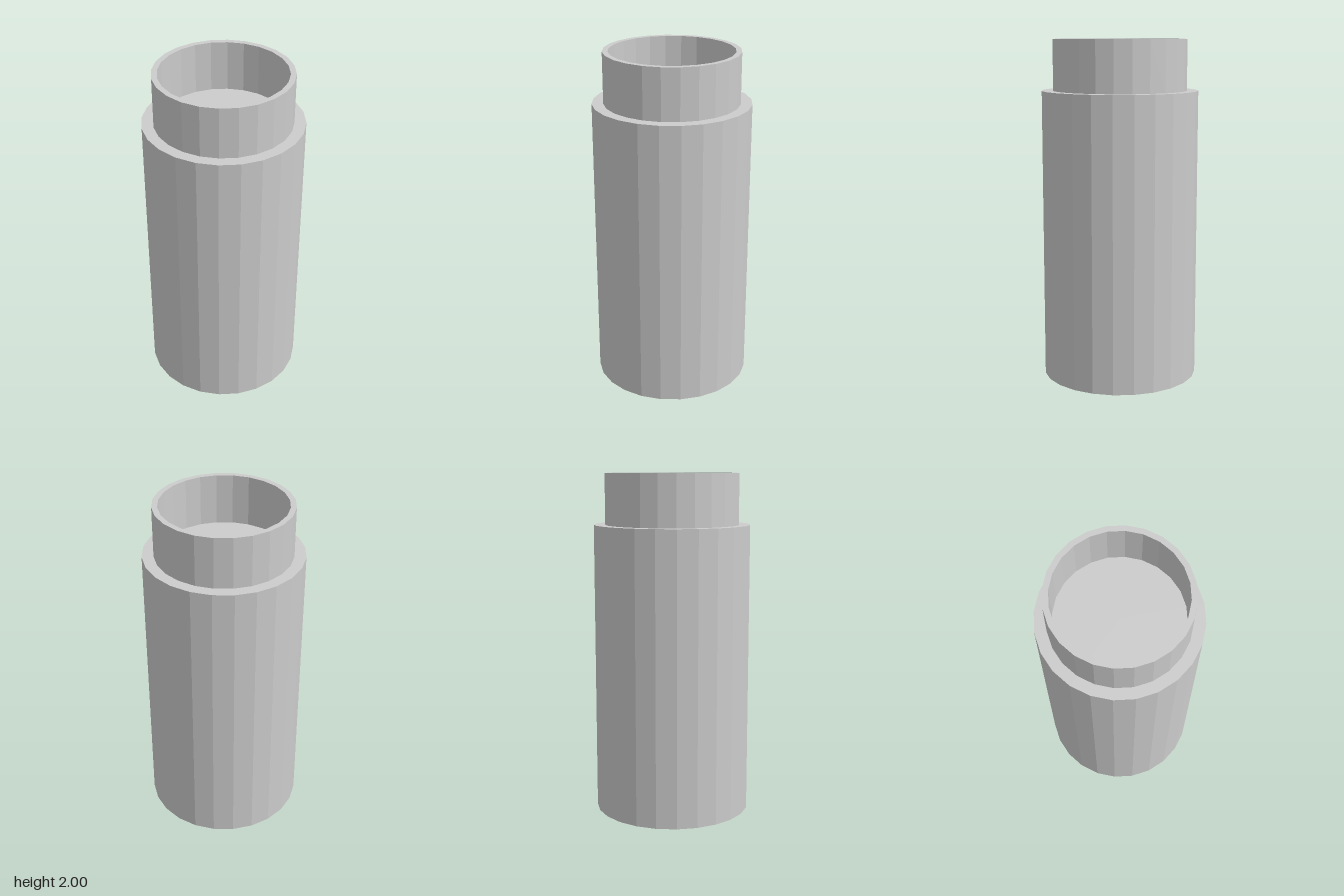
import * as THREE from 'three';

const SIDES = 24;
const BODY_RADIUS = 0.458;
const SHOULDER = 1.703;
const TOP = 2;
const NECK_OUTER = 0.392;
const NECK_INNER = 0.36;

export function createModel() {
  const model = new THREE.Group();
  model.name = 'container';
  const material = new THREE.MeshStandardMaterial({ color: 0xcccccc, flatShading: true });

  // Faceted main body, closed at the base and shoulder
  const body = new THREE.Mesh(
    new THREE.CylinderGeometry(BODY_RADIUS, BODY_RADIUS, SHOULDER, SIDES), material);
  body.name = 'body';
  body.position.y = SHOULDER / 2;

  // Open neck: outer wall, flat rim, inner wall down to the shoulder
  const profile = [
    [NECK_OUTER, SHOULDER], [NECK_OUTER, TOP], [NECK_INNER, TOP], [NECK_INNER, SHOULDER],
  ].map(([r, y]) => new THREE.Vector2(r, y));
  const neck = new THREE.Mesh(new THREE.LatheGeometry(profile, SIDES), material);
  neck.name = 'neck';

  model.add(body, neck);
  return model;
}
